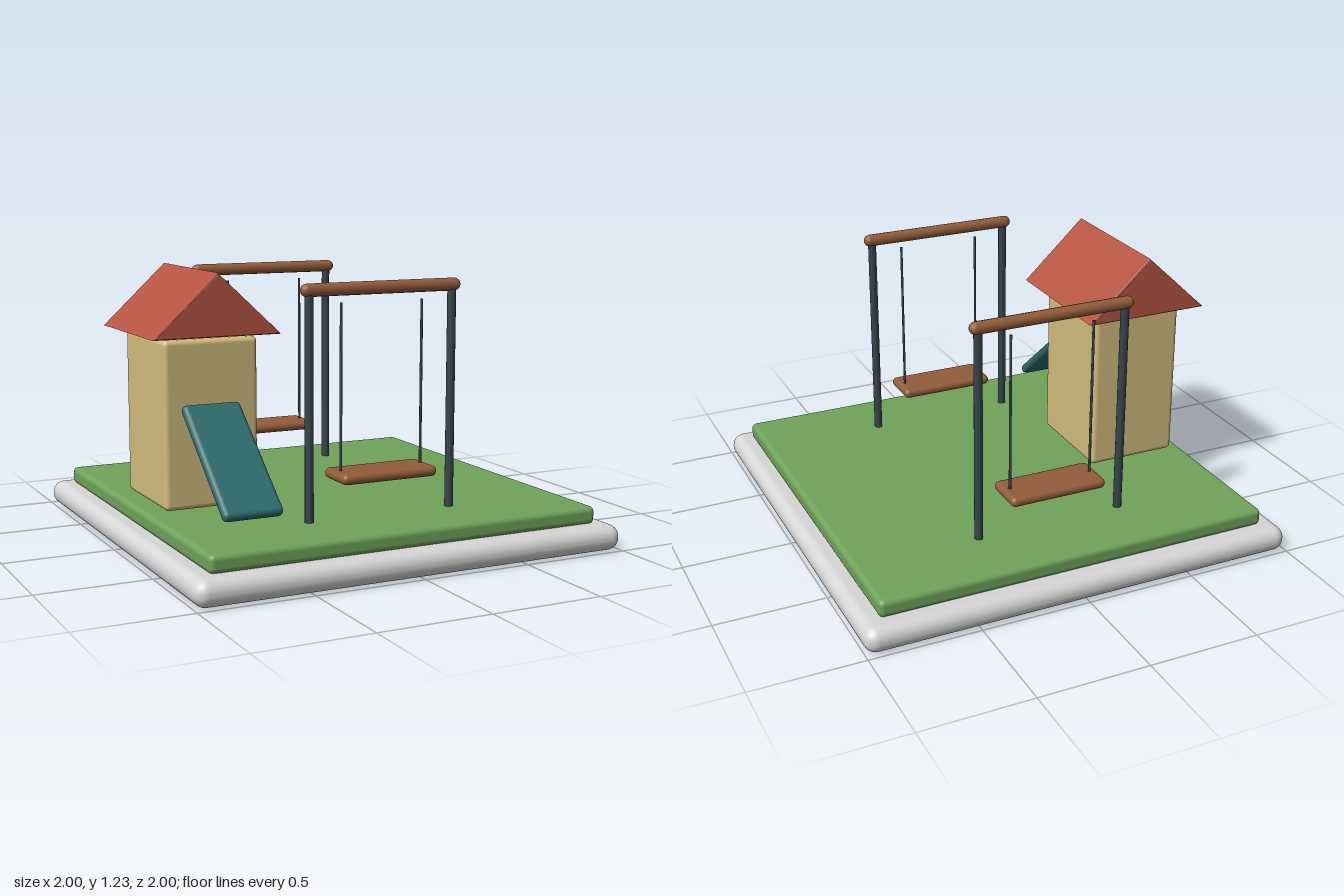
import * as THREE from 'three';
import { RoundedBoxGeometry } from 'three/addons/geometries/RoundedBoxGeometry.js';

function material(name, color) {
  const m = new THREE.MeshStandardMaterial({ color });
  m.name = name;
  return m;
}

export function createModel() {
  const stone = material('paleStone', 0xd6d6d6);
  const grass = material('grassGreen', 0x6fa35a);
  const cream = material('creamWall', 0xd2bc7e);
  const red = material('roofRed', 0xb65543);
  const teal = material('slideTeal', 0x2d6a6b);
  const wood = material('wood', 0x935d3a);
  const steel = material('darkSteel', 0x36454c);

  const model = new THREE.Group();
  model.name = 'playground';

  function add(parent, name, geometry, mat, x, y, z) {
    const mesh = new THREE.Mesh(geometry, mat);
    mesh.name = name;
    mesh.position.set(x, y, z);
    parent.add(mesh);
    return mesh;
  }

  // Ground: stone slab with a lawn on top
  add(model, 'baseSlab', new RoundedBoxGeometry(2, 0.115, 2, 4, 0.055), stone, 0, 0.0575, 0);
  add(model, 'lawn', new RoundedBoxGeometry(1.825, 0.08, 1.825, 3, 0.025), grass, 0, 0.15, 0);

  // Playhouse: wall block floating just above the lawn, gabled roof
  const house = new THREE.Group();
  house.name = 'playhouse';
  house.position.x = -0.627;
  model.add(house);
  add(house, 'walls', new RoundedBoxGeometry(0.432, 0.736, 0.488, 3, 0.022), cream, 0, 0.574, 0);

  const gable = new THREE.Shape();
  gable.moveTo(-0.292, 0);
  gable.lineTo(0.292, 0);
  gable.lineTo(0, 0.272);
  gable.closePath();
  const bevel = 0.008;
  const roof = new THREE.ExtrudeGeometry(gable, {
    depth: 0.66 - 2 * bevel, bevelEnabled: true, bevelThickness: bevel,
    bevelSize: bevel, bevelOffset: -bevel, bevelSegments: 2,
  });
  roof.translate(0, 0, -0.33 + bevel);
  add(house, 'roof', roof, red, 0, 0.957, 0);

  // Slide: tilted board running down towards the front
  const slide = add(model, 'slide', new RoundedBoxGeometry(0.265, 0.048, 0.605, 3, 0.023),
    teal, -0.655, 0.471, 0.522);
  slide.rotation.x = 0.695;

  // Two matching swing frames, one near the front and one near the back
  for (const z of [0.61, -0.61]) {
    const swing = new THREE.Group();
    swing.name = z > 0 ? 'frontSwing' : 'backSwing';
    swing.position.z = z;
    model.add(swing);

    const beam = new THREE.CapsuleGeometry(0.028, 0.704, 4, 12);
    beam.rotateZ(Math.PI / 2);
    add(swing, 'beam', beam, wood, 0, 1.167, 0);
    add(swing, 'seat', new RoundedBoxGeometry(0.452, 0.046, 0.196, 3, 0.022), wood, 0, 0.375, 0);

    for (const side of [-1, 1]) {
      add(swing, 'post', new THREE.CylinderGeometry(0.019, 0.019, 0.98, 12), steel, side * 0.341, 0.67, 0);
      add(swing, 'rope', new THREE.CylinderGeometry(0.006, 0.006, 0.735, 8), steel, side * 0.193, 0.743, 0);
    }
  }

  return model;
}
